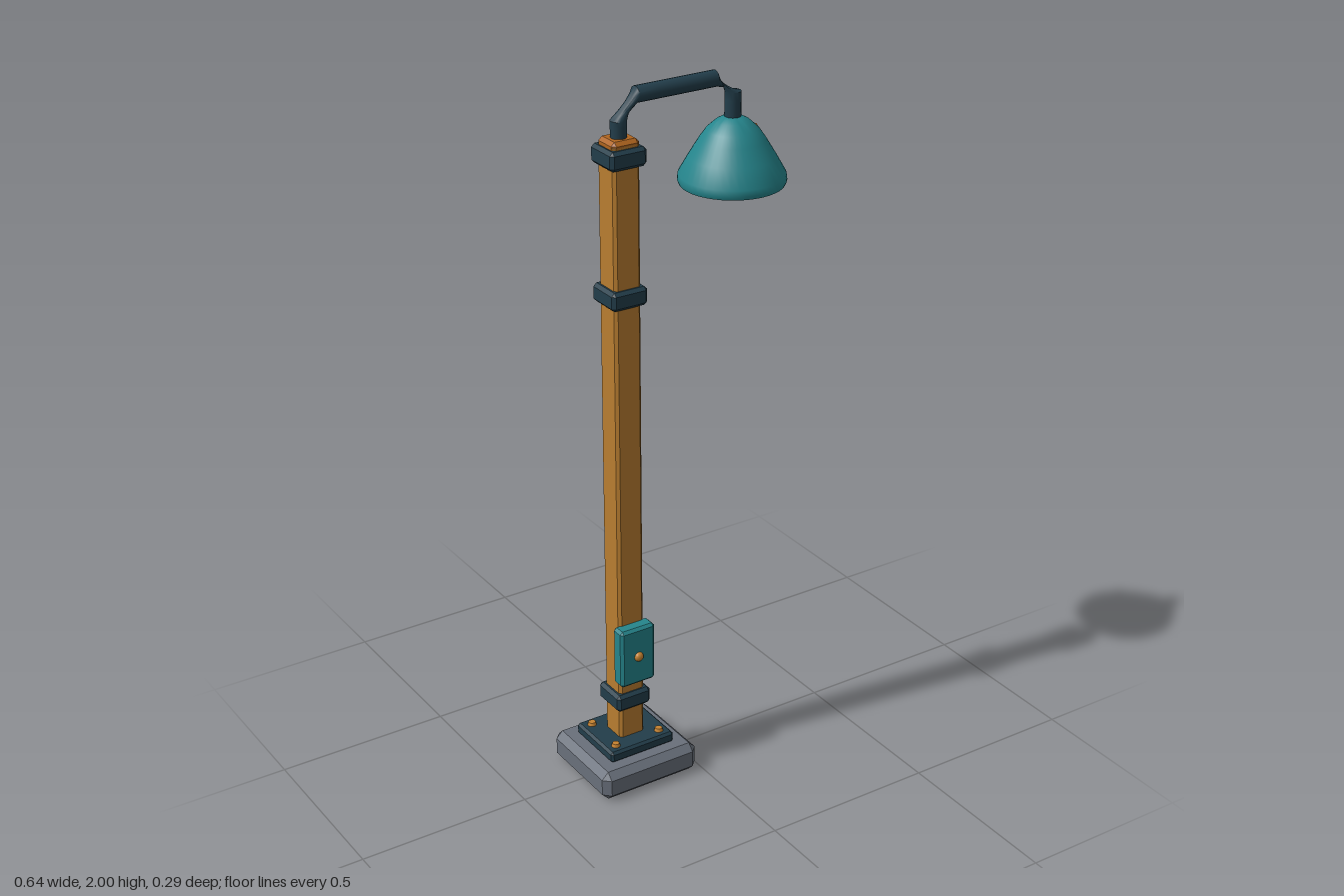
import * as THREE from 'three';
import { toCreasedNormals } from 'three/addons/utils/BufferGeometryUtils.js';
import { ConvexGeometry } from 'three/addons/geometries/ConvexGeometry.js';

const mat = (name, color, side = THREE.FrontSide) => {
  const m = new THREE.MeshStandardMaterial({ color, side });
  m.name = name;
  return m;
};

// Box with flat chamfers on all edges and corners
function chamferBox(w, h, d, c) {
  const pts = [];
  for (const x of [-1, 1]) for (const y of [-1, 1]) for (const z of [-1, 1]) {
    const [a, b, e] = [w / 2, h / 2, d / 2];
    pts.push(
      new THREE.Vector3(x * a, y * (b - c), z * (e - c)),
      new THREE.Vector3(x * (a - c), y * b, z * (e - c)),
      new THREE.Vector3(x * (a - c), y * (b - c), z * e));
  }
  return new ConvexGeometry(pts);
}

// Pipe lofted through rings [x, y, direction angle, roll]
function loftPipe(rings, radius, sides = 16, steps = 4) {
  const pos = [], index = [];
  const ringPoint = ([x, y, dir, roll], i) => {
    const a = (i / sides) * Math.PI * 2 + roll;
    const n = Math.cos(a) * radius;
    return new THREE.Vector3(x - Math.sin(dir) * n, y + Math.cos(dir) * n, Math.sin(a) * radius);
  };
  const rows = [];
  rings.forEach((r, k) => {
    const row = [];
    for (let i = 0; i < sides; i++) row.push(ringPoint(r, i));
    if (k) {
      const prev = rows[rows.length - 1];
      for (let s = 1; s < steps; s++) rows.push(row.map((p, i) => prev[i].clone().lerp(p, s / steps)));
    }
    rows.push(row);
  });
  rows.forEach(row => row.forEach(p => pos.push(p.x, p.y, p.z)));
  for (let k = 0; k < rows.length - 1; k++) for (let i = 0; i < sides; i++) {
    const a = k * sides + i, b = k * sides + (i + 1) % sides;
    index.push(a, a + sides, b, b, a + sides, b + sides);
  }
  const g = new THREE.BufferGeometry();
  g.setAttribute('position', new THREE.Float32BufferAttribute(pos, 3));
  g.setIndex(index);
  g.computeVertexNormals();
  return toCreasedNormals(g, 0.7);
}

export function createModel() {
  const stone = mat('stone grey', 0x69707b);
  const iron = mat('dark iron', 0x223d4a);
  const pipe = mat('dark iron pipe', 0x223d4a, THREE.DoubleSide);
  const wood = mat('amber wood', 0xb97d30);
  const copper = mat('copper', 0xb0651f);
  const brass = mat('brass', 0xc58230);
  const teal = mat('teal enamel', 0x25858c, THREE.DoubleSide);
  const glow = mat('warm lens', 0xf5d9a8, THREE.DoubleSide);

  const group = new THREE.Group();
  const add = (name, geo, material, x, y, z) => {
    const m = new THREE.Mesh(geo, material);
    m.name = name;
    m.position.set(x, y, z);
    group.add(m);
    return m;
  };
  const px = -0.168; // post axis

  // Footing and bolted plate
  add('base', chamferBox(0.308, 0.088, 0.288, 0.02), stone, px, 0.044, 0);
  add('basePlate', chamferBox(0.206, 0.034, 0.19, 0.007), iron, px, 0.103, 0);
  for (const sx of [-1, 1]) for (const sz of [-1, 1]) {
    add('bolt', new THREE.CylinderGeometry(0.01, 0.014, 0.012, 12), brass, px + sx * 0.071, 0.123, sz * 0.064);
  }

  // Post with collars and cap
  add('post', chamferBox(0.08, 1.76, 0.08, 0.008), wood, px, 0.99, 0);
  add('postCap', chamferBox(0.082, 0.03, 0.08, 0.01), copper, px, 1.861, 0);
  for (const y of [0.238, 1.452, 1.83]) {
    add('collar', chamferBox(0.108, 0.052, 0.106, 0.009), iron, px, y, 0);
  }

  // Service box with knob
  add('serviceBox', chamferBox(0.11, 0.178, 0.046, 0.008), teal, px, 0.394, 0.052);
  const knob = add('knob', new THREE.SphereGeometry(0.014, 12, 8), brass, px, 0.394, 0.076);
  knob.scale.z = 0.8;

  // Bent arm, pinched at its elbows
  const H = Math.PI / 2;
  add('arm', loftPipe([
    [px, 1.86, H, 0], [px, 1.92, H, 0],
    [-0.118, 1.978, 0, H], [0.122, 1.978, 0, H],
    [0.178, 1.935, -H, H + Math.PI * 0.94], [0.178, 1.85, -H, H + Math.PI * 0.94],
  ], 0.022), pipe, 0, 0, 0);

  // Bell shade with rolled rim and lens
  const profile = [
    [0.124, 1.7], [0.132, 1.686], [0.14, 1.688], [0.144, 1.698], [0.142, 1.714],
    [0.115, 1.762], [0.088, 1.807], [0.07, 1.833], [0.045, 1.856], [0.024, 1.868], [0, 1.87],
  ].map(p => new THREE.Vector2(...p));
  add('shade', toCreasedNormals(new THREE.LatheGeometry(profile, 40), 0.6), teal, 0.178, 0, 0);
  const lens = add('lens', new THREE.CircleGeometry(0.126, 40), glow, 0.178, 1.697, 0);
  lens.rotation.x = Math.PI / 2;
  add('shadeRivet', new THREE.SphereGeometry(0.005, 8, 6), copper, 0.25, 1.83, 0);

  return group;
}
